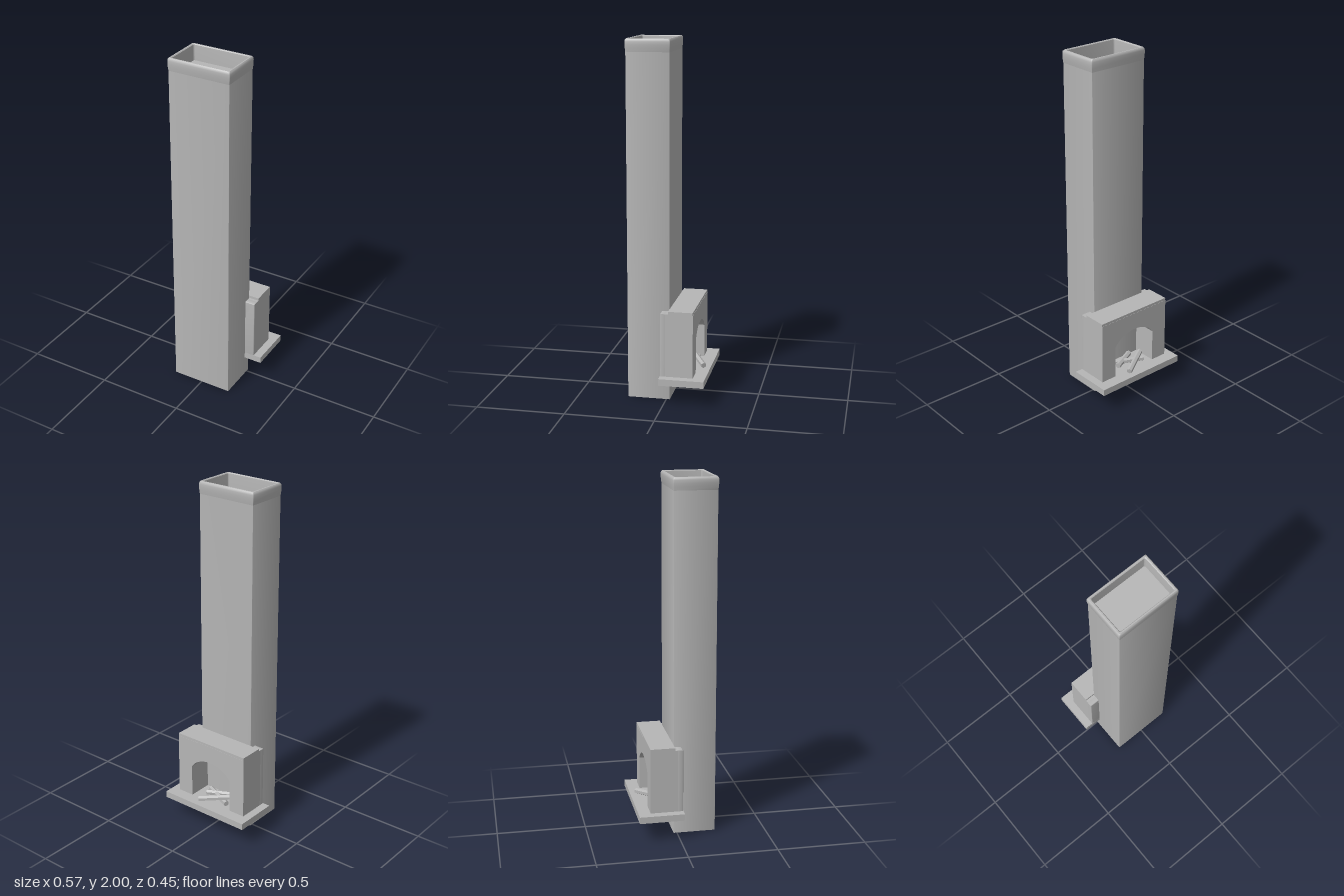
import * as THREE from 'three';
import { toCreasedNormals } from 'three/addons/utils/BufferGeometryUtils.js';

export function createModel() {
  const model = new THREE.Group();
  model.name = 'fireplaceWithChimney';
  const stone = new THREE.MeshStandardMaterial({ color: 0xb6b6b6, side: THREE.DoubleSide });
  stone.name = 'grey stone';

  const add = (name, geometry, x = 0, y = 0, z = 0) => {
    const mesh = new THREE.Mesh(geometry, stone);
    mesh.name = name;
    mesh.position.set(x, y, z);
    model.add(mesh);
    return mesh;
  };

  // Rounded rectangle rings stacked from [halfX, halfZ, radius, y] sections
  const loft = (sections, capLast) => {
    const steps = 4, n = 4 * (steps + 1), pos = [], idx = [];
    for (const [hx, hz, r, y] of sections) {
      for (let c = 0; c < 4; c++) {
        const sx = c === 0 || c === 3 ? 1 : -1, sz = c < 2 ? 1 : -1;
        for (let s = 0; s <= steps; s++) {
          const a = (c + s / steps) * Math.PI / 2;
          pos.push(sx * (hx - r) + r * Math.cos(a), y, sz * (hz - r) + r * Math.sin(a));
        }
      }
    }
    for (let k = 0; k < sections.length - 1; k++) {
      for (let i = 0; i < n; i++) {
        const a = k * n + i, b = k * n + (i + 1) % n;
        idx.push(a, a + n, b, b, a + n, b + n);
      }
    }
    if (capLast) {
      const base = (sections.length - 1) * n;
      for (let i = 1; i < n - 1; i++) idx.push(base, base + i + 1, base + i);
    }
    const g = new THREE.BufferGeometry();
    g.setAttribute('position', new THREE.Float32BufferAttribute(pos, 3));
    g.setIndex(idx);
    return toCreasedNormals(g, 0.6);
  };

  // Chimney shaft, open underneath
  const hx = 0.179, hz = 0.1195, cz = 0.1;
  add('chimneyShaft', loft([[hx, hz, 0.002, 0], [hx, hz, 0.002, 1.93]]), 0, 0, cz);

  // Flared rounded rim that turns down into a shallow recess
  const rim = [
    [0, 1.93, 0.002], [0.003, 1.95, 0.005], [0.005, 1.968, 0.008], [0.005, 1.985, 0.008],
    [0.003, 1.994, 0.008], [-0.002, 2, 0.008], [-0.009, 2, 0.008],
    [-0.013, 1.996, 0.008], [-0.014, 1.985, 0.008], [-0.014, 1.91, 0.008],
  ];
  add('chimneyRim', loft(rim.map(([o, y, r]) => [hx + o, hz + o * 0.9, r, y]), true), 0, 0, cz);

  // Fireplace surround: a slab with an arched opening cut from the base
  const surround = (w, top) => {
    const s = new THREE.Shape();
    s.moveTo(-w, 0.15);
    s.lineTo(-0.14, 0.15);
    s.lineTo(-0.14, 0.345);
    s.bezierCurveTo(-0.085, 0.437, 0.085, 0.437, 0.14, 0.345);
    s.lineTo(0.14, 0.15);
    s.lineTo(w, 0.15);
    s.lineTo(w, top);
    s.lineTo(-w, top);
    s.closePath();
    return s;
  };
  add('fireplaceSurround', toCreasedNormals(new THREE.ExtrudeGeometry(surround(0.238, 0.515),
    { depth: 0.155, bevelEnabled: false, curveSegments: 20 }), 0.6), 0, 0, -0.16);
  // Softly bevelled edge of the surround beside the chimney
  add('surroundBevel', toCreasedNormals(new THREE.ExtrudeGeometry(surround(0.238, 0.515),
    { depth: 0.025, bevelThickness: 0.006, bevelSize: 0.006, bevelOffset: -0.006,
      bevelSegments: 3, curveSegments: 20 }), 0.6), 0, 0, -0.006);

  // Mantel slab
  add('mantel', new THREE.BoxGeometry(0.476, 0.016, 0.138), 0, 0.522, -0.09);

  // Hearth slab with an open underside
  const hearth = new THREE.BoxGeometry(0.568, 0.038, 0.253);
  hearth.setIndex([...hearth.index.array].filter((_, i) => i < 18 || i > 23));
  add('hearth', hearth, 0, 0.136, -0.1015);

  // Crossed firewood logs
  const logs = [
    [[0.064, 0.172, -0.192], [-0.10, 0.200, -0.098]],
    [[0.085, 0.172, -0.055], [-0.095, 0.172, -0.135]],
    [[0.075, 0.172, -0.105], [-0.06, 0.178, -0.045]],
  ];
  logs.forEach(([p, q]) => {
    const a = new THREE.Vector3(...p), b = new THREE.Vector3(...q);
    const dir = b.clone().sub(a);
    const geometry = toCreasedNormals(new THREE.CylinderGeometry(0.016, 0.016, dir.length(), 6), 0.3);
    const log = add('log', geometry);
    log.position.copy(a).add(b).multiplyScalar(0.5);
    log.quaternion.setFromUnitVectors(new THREE.Vector3(0, 1, 0), dir.normalize());
  });

  return model;
}
